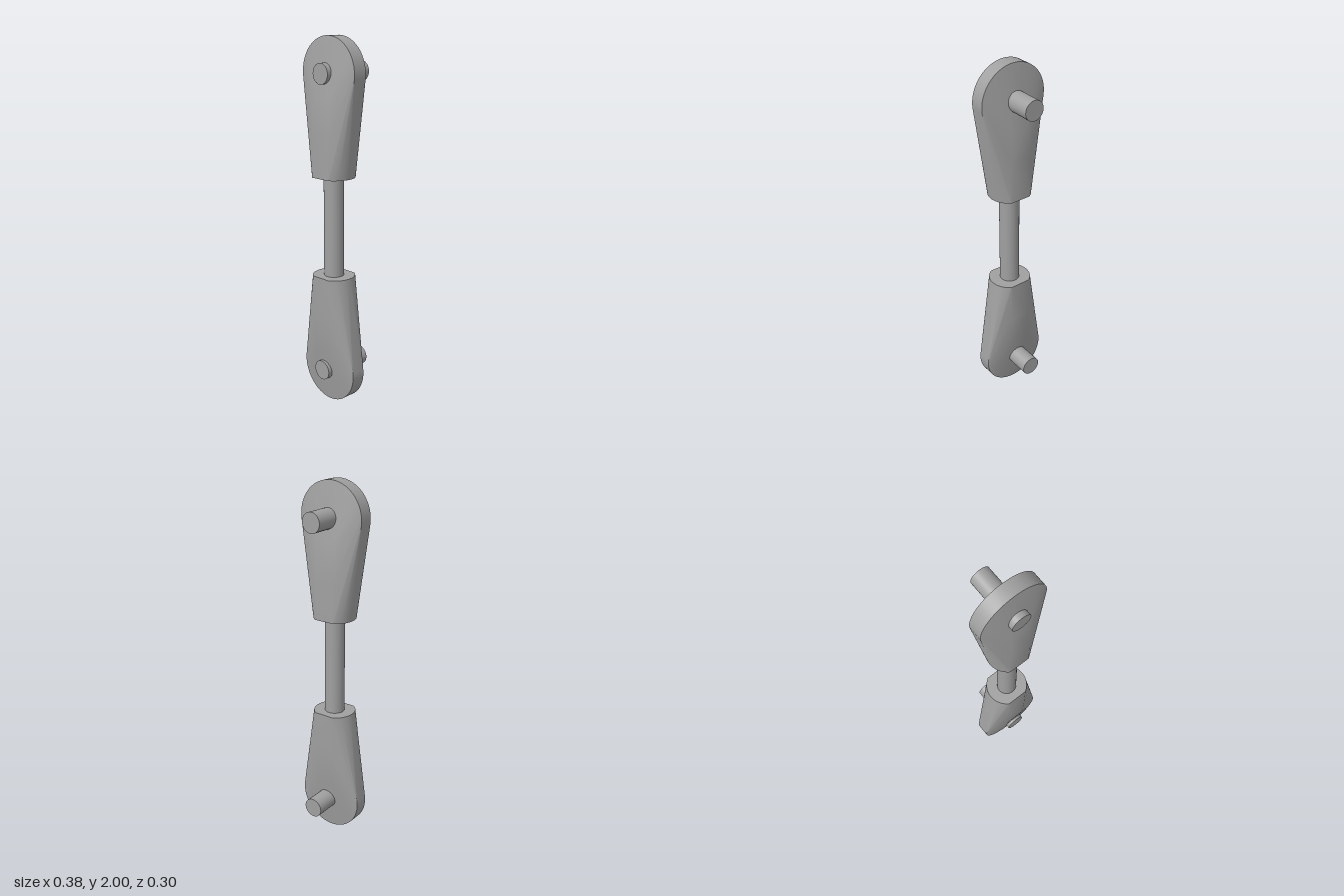
import * as THREE from 'three';
import { ConvexGeometry } from 'three/addons/geometries/ConvexGeometry.js';
import { toCreasedNormals } from 'three/addons/utils/BufferGeometryUtils.js';

const MID_Z = 0.053;   // centre plane of the links
const EYE_Y = 0.811;   // eye centre, measured from the middle of the rod
const EYE_R = 0.189;
const END_Y = 0.272;   // inner end of each link
const END_R = 0.115;
const THICK = 0.099;   // half thickness at the inner end
const RIM = 0.04;      // half thickness at the eye rim

// Tapered link: skin around a thin round eye and a round end with two flats
function linkGeometry() {
  const pts = [];
  const add = (x, y, z) => pts.push(new THREE.Vector3(x, y, z));
  const n = 64;
  for (let i = 0; i < n; i++) {
    const a = (i / n) * Math.PI * 2;
    const c = Math.cos(a), s = Math.sin(a);
    for (const side of [-1, 1]) add(EYE_R * c, EYE_Y + EYE_R * s, side * RIM);
    if (Math.abs(END_R * s) < THICK) add(END_R * c, END_Y, END_R * s);
  }
  // flats on front and back, easing down toward the eye
  const flat = Math.sqrt(END_R ** 2 - THICK ** 2);
  for (const sx of [-1, 1]) for (const sz of [-1, 1]) {
    add(sx * flat, END_Y, sz * THICK);
    add(sx * 0.056, 0.5, sz * 0.0985);
    add(sx * 0.05, 0.69, sz * 0.0905);
  }
  return toCreasedNormals(new ConvexGeometry(pts), 0.45);
}

export function createModel() {
  const model = new THREE.Group();
  model.name = 'linkRod';
  const steel = new THREE.MeshStandardMaterial({ color: 0xa0a0a0 });
  steel.name = 'grey steel';

  const part = (name, geometry, parent) => {
    const mesh = new THREE.Mesh(geometry, steel);
    mesh.name = name;
    parent.add(mesh);
    return mesh;
  };

  // Centre rod
  part('rod', new THREE.CylinderGeometry(0.054, 0.054, 0.7, 48), model).position.set(0, 1, MID_Z);

  // Upper and lower links with their cross pins
  const linkGeo = linkGeometry();
  const pinGeo = new THREE.CylinderGeometry(0.054, 0.054, 0.3, 48).rotateX(Math.PI / 2);
  for (const [name, dir] of [['upper', 1], ['lower', -1]]) {
    const end = new THREE.Group();
    end.name = name + 'End';
    end.position.y = 1;
    const link = part(name + 'Link', linkGeo, end);
    link.position.z = MID_Z;
    link.rotation.z = dir > 0 ? 0 : Math.PI;
    part(name + 'Pin', pinGeo, end).position.set(0, dir * 0.812, -0.002);
    model.add(end);
  }
  return model;
}
